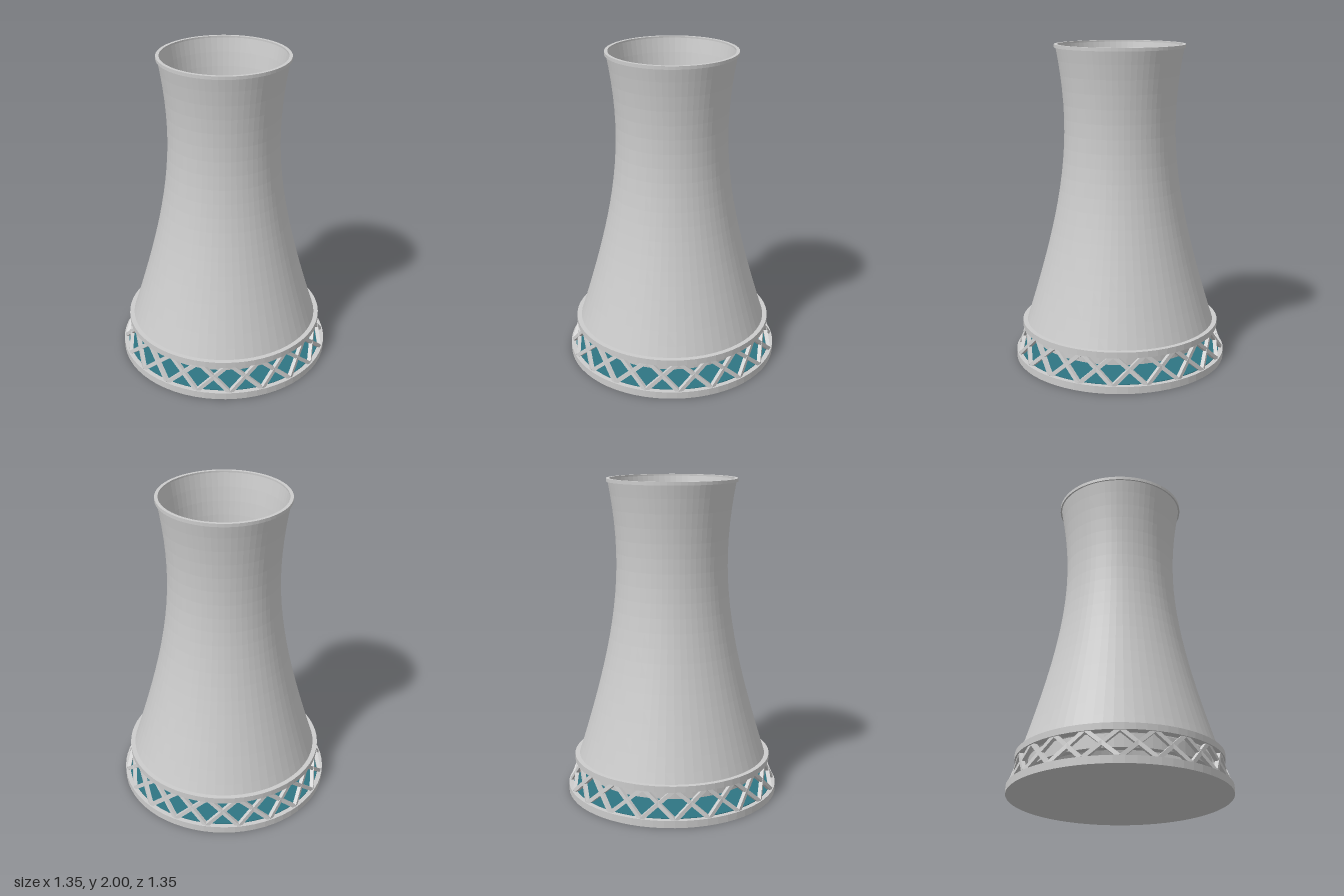
import * as THREE from 'three';

const SEG = 64;
const grey = new THREE.MeshStandardMaterial({ color: 0xcccccc, flatShading: true });
const teal = new THREE.MeshStandardMaterial({ color: 0x2f7583 });

function add(parent, name, geometry, material = grey) {
  const mesh = new THREE.Mesh(geometry, material);
  mesh.name = name;
  parent.add(mesh);
  return mesh;
}

// Closed ring of rectangular section
function ringGeometry(inner, outer, y0, y1) {
  const pts = [[inner, y0], [outer, y0], [outer, y1], [inner, y1], [inner, y0]];
  return new THREE.LatheGeometry(pts.map(([r, y]) => new THREE.Vector2(r, y)), SEG);
}

// Hyperbolic radius of the tower wall
const wallRadius = (y) => 0.347 * Math.sqrt(1 + ((y - 1.5) / 0.89) ** 2);

function polar(radius, angle, y) {
  return new THREE.Vector3(radius * Math.sin(angle), y, radius * Math.cos(angle));
}

// Square bar between two points, one face turned outward
function strut(parent, a, b, size) {
  const dir = b.clone().sub(a);
  const mid = a.clone().add(b).multiplyScalar(0.5);
  const along = dir.clone().normalize();
  const side = new THREE.Vector3().crossVectors(along, new THREE.Vector3(mid.x, 0, mid.z)).normalize();
  const out = new THREE.Vector3().crossVectors(side, along);
  const bar = add(parent, 'strut', new THREE.BoxGeometry(size, dir.length(), size));
  bar.quaternion.setFromRotationMatrix(new THREE.Matrix4().makeBasis(side, along, out));
  bar.position.copy(mid);
}

export function createModel() {
  const tower = new THREE.Group();
  tower.name = 'coolingTower';

  // Foundation slab and the water basin on it
  const slab = add(tower, 'baseSlab', new THREE.CylinderGeometry(0.675, 0.675, 0.045, SEG));
  slab.position.y = 0.0225;
  const water = add(tower, 'basinWater', new THREE.CylinderGeometry(0.645, 0.645, 0.006, SEG), teal);
  water.position.y = 0.046;

  // Crossing support struts
  const supports = new THREE.Group();
  supports.name = 'supportLattice';
  tower.add(supports);
  const nodes = 20;
  const step = (Math.PI * 2) / nodes;
  for (let i = 0; i < nodes; i++) {
    for (const s of [-1, 1]) {
      strut(supports, polar(0.657, i * step, 0.04), polar(0.607, (i + s) * step, 0.215), 0.024);
    }
  }

  // Ring beam and the inner packing ring below the shell
  add(tower, 'ringBeam', ringGeometry(0.575, 0.63, 0.205, 0.243));
  add(tower, 'packingRing', ringGeometry(0.5, 0.55, 0.13, 0.21));

  // Thin-walled shell: outer curve up, inner curve down
  const rows = 20;
  const wall = 0.012;
  const profile = [];
  for (let i = 0; i <= rows; i++) {
    const y = 0.22 + (1.77 * i) / rows;
    profile.push(new THREE.Vector2(wallRadius(y), y));
  }
  for (let i = rows; i >= 0; i--) {
    const y = 0.22 + (1.77 * i) / rows;
    profile.push(new THREE.Vector2(wallRadius(y) - wall, y));
  }
  profile.push(profile[0].clone());
  add(tower, 'shell', new THREE.LatheGeometry(profile, SEG));

  // Lip around the mouth
  add(tower, 'topRim', ringGeometry(0.384, 0.404, 1.98, 2.0));

  return tower;
}
